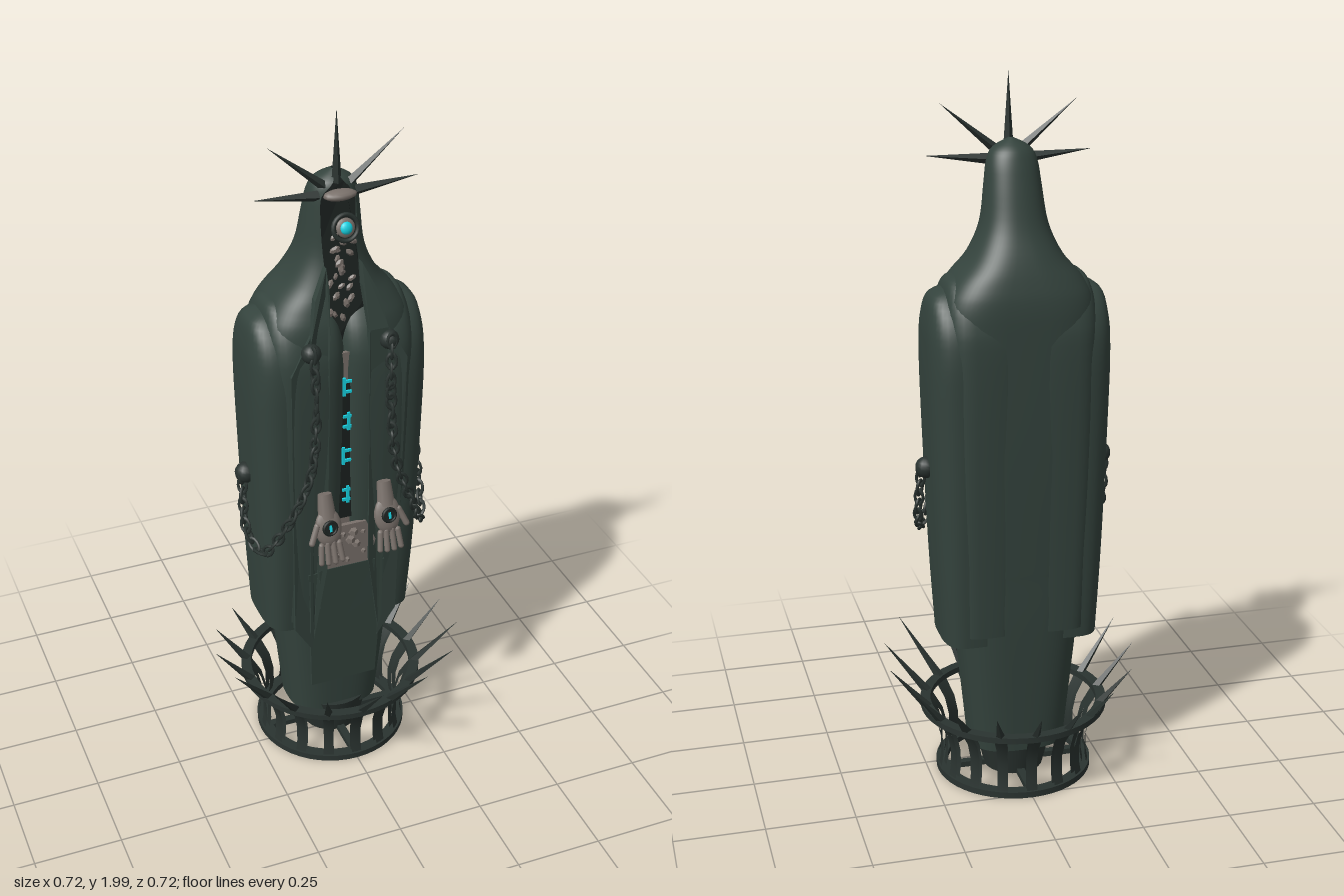
import * as THREE from 'three';
import { toCreasedNormals } from 'three/addons/utils/BufferGeometryUtils.js';

const mat = (name, color, side = THREE.FrontSide) => {
  const m = new THREE.MeshStandardMaterial({ color, side });
  m.name = name;
  return m;
};

export function createModel() {
  const root = new THREE.Group();
  const robe = mat('dark green robe', 0x34433d, THREE.DoubleSide);
  const iron = mat('dark iron', 0x2a3330, THREE.DoubleSide);
  const hollow = mat('hollow black', 0x1b211f);
  const skin = mat('grey skin', 0x7a716b);
  const glow = mat('cyan glow', 0x18d4e4);
  const V = (x, y, z) => new THREE.Vector3(x, y, z);
  let seed = 7;
  const rnd = () => (seed = (seed * 16807) % 2147483647) / 2147483647;

  const add = (name, geo, m, parent = root, x = 0, y = 0, z = 0) => {
    const mesh = new THREE.Mesh(geo, m);
    mesh.name = name;
    mesh.position.set(x, y, z);
    parent.add(mesh);
    return mesh;
  };

  // Tapered four-sided spike from a to b
  const spike = (name, a, b, r, m, parent = root) => {
    const d = b.clone().sub(a);
    const mid = a.clone().add(b).multiplyScalar(0.5);
    const mesh = add(name, new THREE.ConeGeometry(r, d.length(), 4).toNonIndexed(), m, parent, mid.x, mid.y, mid.z);
    mesh.geometry.computeVertexNormals();
    mesh.quaternion.setFromUnitVectors(V(0, 1, 0), d.normalize());
  };

  // Loft of rounded-box sections: [y, centre x, half width, front z, back z, half opening, roundness]
  const loft = (rows, steps = 4, n = 56) => {
    const cr = (a, b, c, d, t) => b + 0.5 * t * (c - a + t * (2 * a - 5 * b + 4 * c - d + t * (3 * (b - c) + d - a)));
    const pos = [], idx = [];
    const last = rows.length - 1, total = last * steps;
    for (let i = 0; i <= total; i++) {
      const k = Math.min(Math.floor(i / steps), last - 1), t = i / steps - k;
      const at = (q) => rows[Math.max(0, Math.min(last, q))];
      const [y, cx, w0, zf, zb, o0, e] = rows[0].map((_, c) => cr(at(k - 1)[c], at(k)[c], at(k + 1)[c], at(k + 2)[c], t));
      const w = Math.max(w0, 0.001), o = Math.min(Math.max(o0, 0), w * 0.95);
      const t0 = Math.asin(Math.pow(o / w, 1 / e));
      for (let j = 0; j <= n; j++) {
        const a = t0 + (2 * Math.PI - 2 * t0) * j / n, s = Math.sin(a), c = Math.cos(a);
        pos.push(cx + w * Math.sign(s) * Math.abs(s) ** e, y,
          (zf + zb) / 2 + (zf - zb) / 2 * Math.sign(c) * Math.abs(c) ** e);
        if (i < total && j < n) {
          const p = i * (n + 1) + j, u = p + n + 1;
          idx.push(p, p + 1, u + 1, p, u + 1, u);
        }
      }
    }
    const g = new THREE.BufferGeometry();
    g.setAttribute('position', new THREE.Float32BufferAttribute(pos, 3));
    g.setIndex(idx);
    g.computeVertexNormals();
    return g;
  };

  // Hooded robe, open down the front
  const body = [
    [0.10, 0, 0.135, 0.05, -0.175, 0, 0.7], [0.45, 0, 0.168, 0.07, -0.195, 0, 0.62],
    [0.62, 0, 0.18, 0.08, -0.2, 0, 0.6], [0.68, 0, 0.185, 0.082, -0.202, 0.055, 0.6],
    [1.0, 0, 0.2, 0.09, -0.21, 0.06, 0.58], [1.3, 0, 0.21, 0.095, -0.21, 0.06, 0.58],
    [1.4, 0, 0.205, 0.09, -0.207, 0.055, 0.6], [1.46, 0, 0.175, 0.075, -0.195, 0.05, 0.66],
    [1.52, 0, 0.125, 0.06, -0.175, 0.045, 0.75], [1.6, 0, 0.09, 0.042, -0.14, 0.048, 0.85],
    [1.7, 0, 0.076, 0.035, -0.11, 0.05, 0.9], [1.76, 0, 0.068, 0.03, -0.09, 0.045, 0.95],
    [1.795, 0, 0.05, 0.02, -0.07, 0.015, 1], [1.82, 0, 0.004, -0.015, -0.03, 0, 1],
  ];
  add('hoodedRobe', loft(body), robe);
  const frontAt = (y) => {
    for (let i = 1; i < body.length; i++) {
      const a = body[i - 1], b = body[i];
      if (y <= b[0]) return a[3] + (b[3] - a[3]) * (y - a[0]) / (b[0] - a[0]);
    }
    return 0;
  };

  // Flat plate that follows the front of the robe; side mirrors it
  const plate = (name, pts, off, depth, m, side = 1) => {
    const shape = new THREE.Shape(pts.map(([x, y]) => new THREE.Vector2(x * side, y)));
    const g = new THREE.ExtrudeGeometry(shape, { depth, bevelEnabled: false });
    const p = g.attributes.position;
    for (let i = 0; i < p.count; i++) p.setZ(i, p.getZ(i) + frontAt(p.getY(i)) + off);
    g.computeVertexNormals();
    return add(name, g, m);
  };
  const sym = (pts) => [...pts, ...pts.map(([x, y]) => [-x, y]).reverse()];

  plate('robeHollow', sym([[0.06, 0.6], [0.075, 1.3], [0.065, 1.46], [0.055, 1.6], [0.055, 1.74], [0.03, 1.785]]), -0.04, 0.005, hollow);
  plate('chestStrip', sym([[0.06, 0.76], [0.045, 1.0], [0.014, 1.33]]), -0.03, 0.01, skin);
  plate('chestInlay', sym([[0.032, 0.8], [0.024, 1.0], [0.01, 1.24]]), -0.0195, 0.004, hollow);
  plate('tornWaist', sym([[0.07, 0.65], [0.085, 0.72], [0.055, 0.79]]), -0.004, 0.012, skin);
  plate('apron', sym([[0, 0.465], [0.08, 0.51], [0.085, 0.65]]), -0.006, 0.016, robe);
  plate('underApron', sym([[0.1, 0.22], [0.115, 0.64]]), -0.004, 0.01, robe);

  // Glowing abstract marks on the chest
  [1.23, 1.12, 1.01, 0.88].forEach((y, i) => {
    const z = frontAt(y) - 0.013;
    add('glowBar', new THREE.BoxGeometry(0.008, 0.055, 0.006), glow, root, i % 2 ? 0.006 : -0.008, y, z);
    for (const s of [-1, 1]) add('glowTick', new THREE.BoxGeometry(0.024, 0.008, 0.006), glow, root, 0.002, y + s * 0.016, z);
  });

  // Floating face: brow, eye and fragments
  const brow = add('brow', new THREE.SphereGeometry(1, 12, 8), skin, root, 0, 1.765, 0.03);
  brow.scale.set(0.046, 0.014, 0.024);
  const eye = new THREE.Group();
  eye.name = 'eye';
  eye.position.set(0, 1.69, 0.068);
  eye.rotation.x = -0.25;
  root.add(eye);
  add('eyeRing', new THREE.TorusGeometry(0.034, 0.006, 6, 24), iron, eye);
  add('eyeSocket', new THREE.SphereGeometry(0.026, 16, 10), skin, eye).scale.z = 0.35;
  add('eyeGlow', new THREE.SphereGeometry(0.017, 16, 10), glow, eye, 0, 0, 0.005).scale.z = 0.6;
  for (let i = 0; i < 26; i++) {
    const y = 1.4 + 0.25 * i / 25;
    const bit = add('faceFragment', new THREE.DodecahedronGeometry(0.006 + 0.007 * rnd()), skin, root,
      (rnd() - 0.5) * 0.07, y, 0.03 + 0.02 * rnd());
    bit.scale.set(1.2, 0.7, 0.6);
    bit.rotation.z = rnd() * 3;
  }
  for (let i = 0; i < 14; i++) {
    add('waistFragment', new THREE.DodecahedronGeometry(0.008 + 0.008 * rnd()), skin, root,
      (rnd() - 0.5) * 0.12, 0.67 + 0.1 * rnd(), 0.09);
  }

  // Crown
  spike('crownSpike', V(0, 1.79, 0.005), V(0, 1.99, 0.005), 0.014, iron);

  for (const s of [-1, 1]) {
    spike('crownSpike', V(0.035 * s, 1.785, 0.005), V(0.185 * s, 1.91, 0.005), 0.013, iron);
    spike('crownSpike', V(0.05 * s, 1.76, 0.005), V(0.228 * s, 1.775, 0.005), 0.015, iron);

    // Two cape layers over each arm
    const cape = (name, x0, rows) => add(name, loft(rows.map(([y, x, zf, zb]) =>
      [y, s * x0, x - x0, zf, zb, 0, 0.6]), 4, 40), robe);
    cape('innerCape', 0.1, [[0.47, 0.19, 0.075, -0.197], [0.9, 0.21, 0.095, -0.208], [1.25, 0.215, 0.103, -0.212],
      [1.36, 0.212, 0.09, -0.2], [1.43, 0.2, 0.05, -0.165], [1.465, 0.18, 0.005, -0.115], [1.475, 0.13, -0.04, -0.07]]);
    cape('outerCape', 0.14, [[0.44, 0.22, 0.06, -0.185], [0.7, 0.234, 0.08, -0.195], [1.1, 0.248, 0.09, -0.2],
      [1.27, 0.251, 0.088, -0.198], [1.36, 0.247, 0.065, -0.175], [1.42, 0.23, 0.015, -0.125], [1.445, 0.17, -0.04, -0.07]]);

    // Front drapes
    plate('lapel', [[0.062, 0.66], [0.1, 0.4], [0.11, 0.43], [0.108, 1.4], [0.088, 1.5], [0.05, 1.58], [0.046, 1.52], [0.056, 1.4]], -0.008, 0.022, robe, s);
    plate('sidePanel', [[0.1, 0.36], [0.155, 0.45], [0.165, 1.3], [0.1, 1.42]], -0.012, 0.02, robe, s);

    // Chain with its two knobs
    const path = new THREE.CatmullRomCurve3([[0.11, 1.37, 0.125], [0.107, 1.2, 0.132], [0.125, 1.0, 0.13], [0.19, 0.83, 0.105],
      [0.24, 0.73, 0.05], [0.262, 0.77, -0.01], [0.26, 0.93, -0.05]].map(([x, y, z]) => V(x * s, y, z)));
    const link = new THREE.TorusGeometry(0.013, 0.0045, 6, 12).scale(1, 1.6, 1);
    const chain = new THREE.Group();
    chain.name = 'chain';
    root.add(chain);
    const count = 31;
    for (let i = 0; i <= count; i++) {
      const p = path.getPointAt(i / count);
      const l = add('chainLink', link, iron, chain, p.x, p.y, p.z);
      l.quaternion.setFromUnitVectors(V(0, 1, 0), path.getTangentAt(i / count));
      l.rotateY(i % 2 ? 0.78 : -0.78);
    }
    add('chestKnob', new THREE.SphereGeometry(0.027, 14, 10), iron, root, 0.11 * s, 1.365, 0.105);
    add('sideKnob', new THREE.SphereGeometry(0.03, 14, 10), iron, root, 0.247 * s, 0.935, -0.055);

    // Open hand with fingers pointing down
    const hand = new THREE.Group();
    hand.name = 'hand';
    hand.position.set(0.087 * s, 0.85, 0.165);
    hand.rotation.x = -0.27;
    root.add(hand);
    add('palm', new THREE.SphereGeometry(1, 14, 10), skin, hand).scale.set(0.039, 0.055, 0.017);
    add('wrist', new THREE.CylinderGeometry(0.02, 0.026, 0.07, 10), skin, hand, 0, 0.062, -0.002).scale.z = 0.7;
    for (let f = 0; f < 4; f++) {
      const finger = add('finger', new THREE.CapsuleGeometry(0.0085, 0.06 - 0.007 * Math.abs(f - 1.5), 4, 8), skin, hand,
        (f - 1.5) * 0.019, -0.073, 0.003);
      finger.rotation.z = (f - 1.5) * 0.07;
    }
    const thumb = add('thumb', new THREE.CapsuleGeometry(0.009, 0.05, 4, 8), skin, hand, 0.043 * s, -0.012, 0.004);
    thumb.rotation.z = 0.4 * s;
    add('palmRing', new THREE.TorusGeometry(0.018, 0.005, 6, 18), hollow, hand, 0, 0.002, 0.017);
    add('palmSocket', new THREE.CylinderGeometry(0.016, 0.016, 0.006, 16), hollow, hand, 0, 0.002, 0.017).rotation.x = Math.PI / 2;
    add('palmGlow', new THREE.BoxGeometry(0.007, 0.018, 0.005), glow, hand, 0, 0.002, 0.02);
  }

  // Spiked basket around the base
  const basket = new THREE.Group();
  basket.name = 'basket';
  basket.position.z = -0.047;
  root.add(basket);
  const lathe = (pts, seg, start, len) => toCreasedNormals(new THREE.LatheGeometry(
    pts.map(([r, y]) => new THREE.Vector2(r, y)), seg, start, len), 0.6);
  const ring = (name, r0, r1, y0, y1) => add(name, lathe([[r0, y0], [r1, y0], [r1, y1], [r0, y1], [r0, y0]], 48, 0, Math.PI * 2), iron, basket);
  ring('topRing', 0.238, 0.267, 0.195, 0.212);
  ring('bottomRing', 0.19, 0.223, 0, 0.018);
  const outer = [[0.218, 0.01], [0.211, 0.05], [0.211, 0.1], [0.224, 0.15], [0.256, 0.2]];
  const strip = [...outer, ...outer.map(([r, y]) => [r - 0.014, y]).reverse(), outer[0]];
  for (let i = 0; i < 16; i++) {
    const a = i * Math.PI / 8, c = Math.cos(a), n = Math.sin(a);
    add('basketBar', lathe(strip, 2, a - 0.07, 0.14), iron, basket);
    const R = 0.36 + 0.046 * c;
    spike('basketSpike', V(0.25 * n, 0.205, 0.25 * c), V(R * n, 0.335 + 0.045 * c, R * c), 0.013, iron, basket);
  }
  for (let i = 0; i < 2; i++) {
    add('floorSpoke', new THREE.BoxGeometry(0.022, 0.016, 0.42), iron, basket, 0, 0.01, 0).rotation.y = i * Math.PI / 2;
  }
  add('pedestal', new THREE.CylinderGeometry(0.115, 0.085, 0.12, 24), iron, basket, 0, 0.062, 0);

  return root;
}
